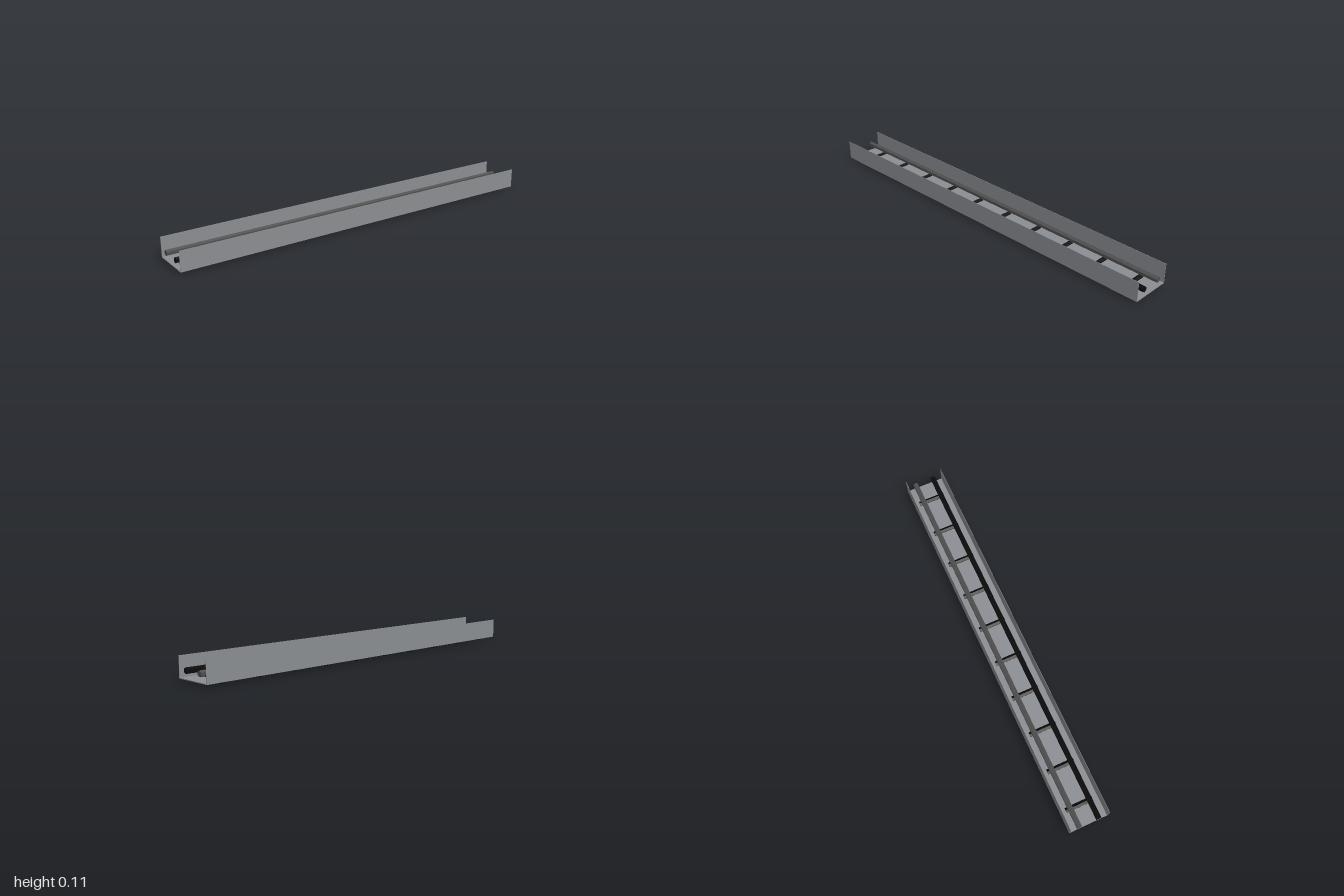
import * as THREE from 'three';

export function createModel() {
  const model = new THREE.Group();
  const flat = (name, color) => {
    const m = new THREE.MeshStandardMaterial({ color, flatShading: true });
    m.name = name;
    return m;
  };
  const panelGrey = flat('panel grey', 0x8b8e92);
  const pipeGrey = flat('pipe grey', 0x505050);
  const black = flat('black', 0x0b0b0b);

  const length = 2, width = 0.2, wallHeight = 0.1, wallThick = 0.002;
  const radius = 0.0142; // shared by pipes and rungs
  const base = radius;   // underside of the channel floor

  const add = (name, geometry, material, x, y, z) => {
    const mesh = new THREE.Mesh(geometry, material);
    mesh.name = name;
    mesh.position.set(x, y, z);
    model.add(mesh);
  };

  // U-shaped channel: floor and two thin side walls
  add('floor', new THREE.BoxGeometry(width, 0.004, length), panelGrey, 0, base + 0.002, 0);
  const wall = new THREE.BoxGeometry(wallThick, wallHeight, length);
  for (const [side, s] of [['left', 1], ['right', -1]]) {
    add(side + 'Wall', wall, panelGrey, s * (width - wallThick) / 2, base + wallHeight / 2, 0);
  }

  // Hexagonal pipes running the whole length
  const pipe = new THREE.CylinderGeometry(radius, radius, length, 6).rotateX(Math.PI / 2);
  add('leftPipe', pipe, black, 0.05, base + 0.04, 0);
  add('rightPipe', pipe, pipeGrey, -0.05, base + 0.04, 0);

  // Crosswise rungs set halfway into the floor
  const rung = new THREE.CylinderGeometry(radius, radius, 0.14, 6)
    .rotateY(Math.PI / 2).rotateZ(Math.PI / 2);
  for (let i = 0; i < 10; i++) {
    add('rung' + (i + 1), rung, black, 0, base, -0.9 + i * 0.2);
  }

  return model;
}
